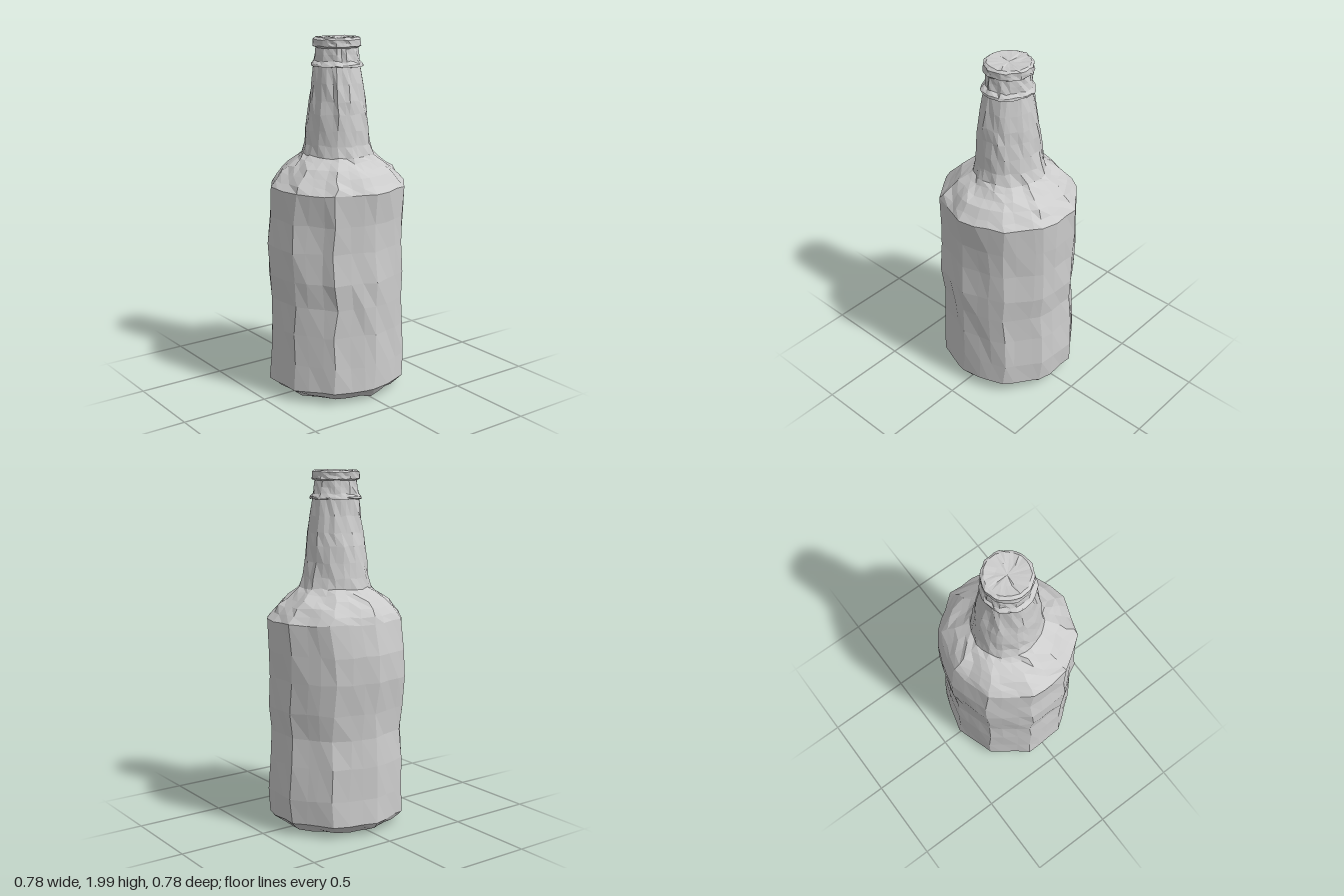
import * as THREE from 'three';

const SEGMENTS = 30;            // three facets on each of ten sides
const PHASE = Math.PI / 10;     // puts a corner of the ten-sided body on +x and -x

// Repeatable noise in -1..1 for a ring height and a segment index
function noise(y, i, seed) {
  const s = Math.sin(Math.round(y * 1000) * 12.9898 + (i % SEGMENTS) * 78.233 + seed * 37.719) * 43758.5453;
  return (s - Math.floor(s)) * 2 - 1;
}

// Distance to the edge of a unit decagon, softened towards a circle
function decagon(phi, sharpness) {
  const side = Math.PI / 5;
  const a = (((phi - PHASE) % side) + side) % side - side / 2;
  return 1 + sharpness * (Math.cos(side / 2) / Math.cos(a) - 1);
}

// One band of rough glass. Each ring: [height, reach to -x, +x, +z, -z, roughness]
function band(name, rings, material) {
  const points = rings.map((r) => new THREE.Vector2(1, r[0]));
  const geometry = new THREE.LatheGeometry(points, SEGMENTS, PHASE, Math.PI * 2);
  const pos = geometry.attributes.position;
  for (let v = 0; v < pos.count; v++) {
    const i = Math.floor(v / rings.length) % SEGMENTS;
    const [y, left, right, front, back, rough] = rings[v % rings.length];
    const phi = PHASE + (i / SEGMENTS) * Math.PI * 2
      + (left > 0.05 ? 0.035 * noise(7, i, 3) + 0.025 * noise(y, i, 4) : 0);
    const sx = Math.sin(phi), cz = Math.cos(phi);
    const r = decagon(phi, left > 0.28 ? 1 : 0.5);
    const x = sx * r * (sx > 0 ? right : left);
    const z = cz * r * (cz > 0 ? front : back);
    const k = left > 0 ? 1 + rough * (0.6 * noise(y, i, 1) + 0.4 * noise(3, i, 2)) / Math.max(left, 0.1) : 1;
    const lift = left > 0 ? 0.6 * rough * noise(y, i, 5) : 0;
    pos.setXYZ(v, x * k, Math.min(2, Math.max(0, y + lift)), z * k);
  }
  geometry.computeVertexNormals();
  const mesh = new THREE.Mesh(geometry, material);
  mesh.name = name;
  return mesh;
}

export function createModel() {
  const glass = new THREE.MeshStandardMaterial({ color: 0xcccccc, flatShading: true });
  glass.name = 'plain grey';

  // Rings shared by neighbouring bands, so that the parts meet without gaps
  const foot = [0.08, 0.385, 0.39, 0.405, 0.4, 0.008];
  const bodyTop = [1.19, 0.365, 0.39, 0.39, 0.405, 0.008];
  const neckBase = [1.36, 0.205, 0.21, 0.19, 0.21, 0.012];
  const collar = [1.84, 0.128, 0.132, 0.132, 0.135, 0.006];
  const capBase = [1.94, 0.118, 0.12, 0.118, 0.12, 0.005];

  const bottle = new THREE.Group();
  bottle.name = 'bottle';
  bottle.add(
    band('base', [
      [0.02, 0, 0, 0, 0, 0],
      [0.015, 0.29, 0.29, 0.3, 0.29, 0.006],
      [0.025, 0.325, 0.33, 0.34, 0.33, 0.009],
      [0.05, 0.36, 0.355, 0.37, 0.365, 0.01],
      foot,
    ], glass),
    band('body', [
      foot,
      [0.22, 0.38, 0.385, 0.4, 0.41, 0.008],
      [0.4, 0.375, 0.38, 0.395, 0.395, 0.008],
      [0.56, 0.368, 0.385, 0.385, 0.385, 0.008],
      [0.7, 0.375, 0.385, 0.405, 0.4, 0.008],
      [0.87, 0.398, 0.372, 0.405, 0.395, 0.008],
      [1.02, 0.393, 0.376, 0.388, 0.4, 0.008],
      bodyTop,
    ], glass),
    band('shoulder', [
      bodyTop,
      [1.225, 0.35, 0.36, 0.355, 0.365, 0.012],
      [1.265, 0.32, 0.32, 0.315, 0.33, 0.013],
      [1.3, 0.285, 0.28, 0.27, 0.285, 0.014],
      [1.335, 0.235, 0.235, 0.22, 0.235, 0.014],
      neckBase,
    ], glass),
    band('neck', [
      neckBase,
      [1.42, 0.19, 0.195, 0.175, 0.19, 0.01],
      [1.5, 0.182, 0.188, 0.168, 0.176, 0.01],
      [1.59, 0.172, 0.18, 0.16, 0.168, 0.01],
      [1.66, 0.15, 0.172, 0.153, 0.16, 0.01],
      [1.75, 0.136, 0.152, 0.142, 0.148, 0.009],
      collar,
    ], glass),
    band('collarRing', [
      collar,
      [1.842, 0.14, 0.155, 0.143, 0.145, 0.006],
      [1.852, 0.14, 0.152, 0.142, 0.145, 0.006],
      [1.87, 0.126, 0.13, 0.125, 0.13, 0.008],
      [1.905, 0.121, 0.125, 0.121, 0.125, 0.008],
      capBase,
    ], glass),
    band('lip', [
      capBase,
      [1.948, 0.134, 0.138, 0.134, 0.136, 0.005],
      [1.965, 0.132, 0.134, 0.132, 0.134, 0.006],
      [1.985, 0.134, 0.136, 0.132, 0.134, 0.006],
      [1.995, 0.118, 0.12, 0.117, 0.119, 0.005],
      [1.99, 0.06, 0.06, 0.06, 0.06, 0.005],
      [1.988, 0, 0, 0, 0, 0],
    ], glass),
  );
  return bottle;
}
